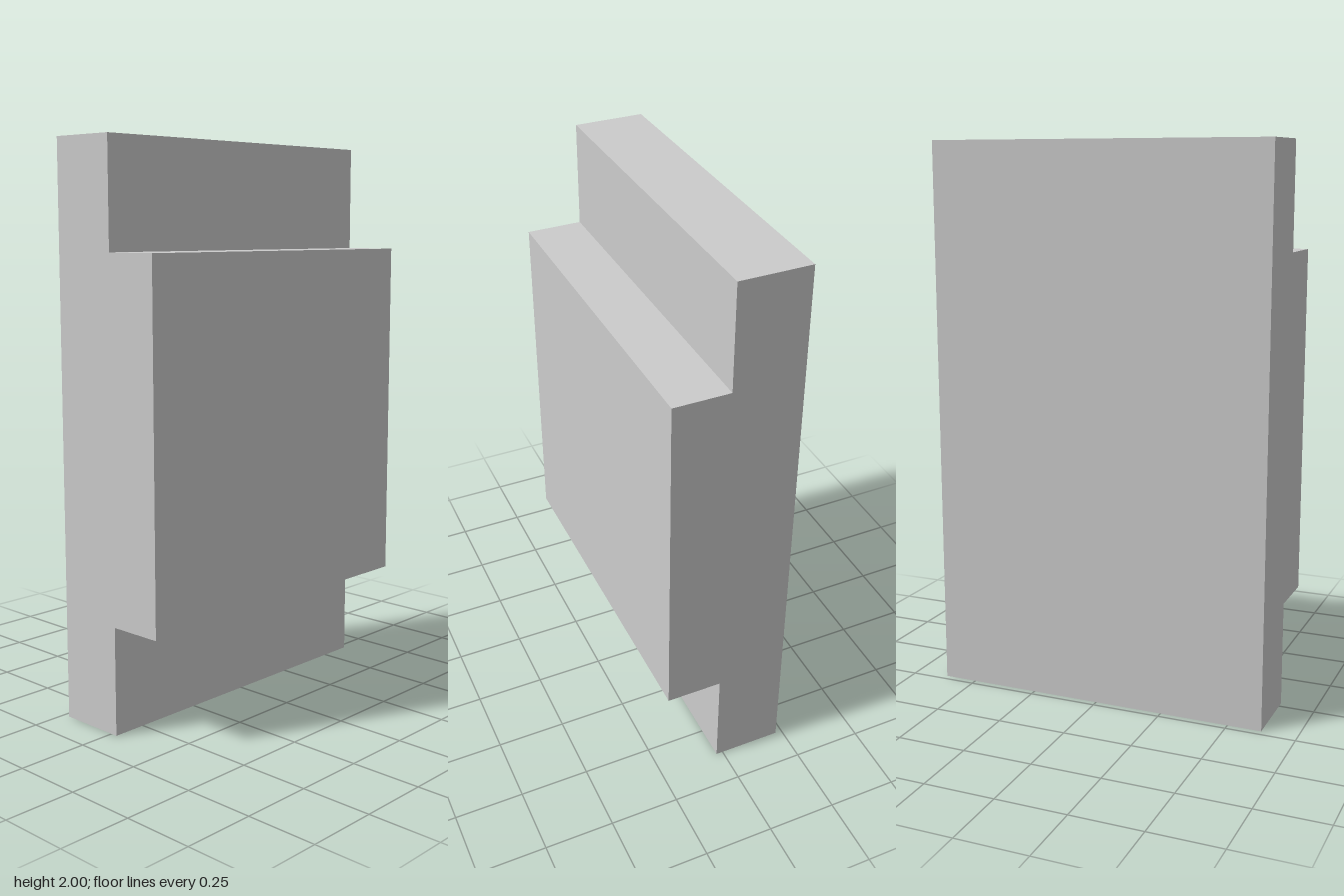
import * as THREE from 'three';

export function createModel() {
  const model = new THREE.Group();
  const width = 1.245;
  const back = -0.225, step = 0.025, front = 0.225;
  const low = 0.38, high = 1.625, top = 2;

  // Stepped side profile as (z, y): tall plate with a raised front block
  const profile = [
    [back, 0], [step, 0], [step, low], [front, low],
    [front, high], [step, high], [step, top], [back, top],
  ];
  const shape = new THREE.Shape(profile.map(([z, y]) => new THREE.Vector2(-z, y)));

  // Sweep the profile across the width
  const geometry = new THREE.ExtrudeGeometry(shape, { depth: width, bevelEnabled: false });
  geometry.translate(0, 0, -width / 2);
  geometry.rotateY(Math.PI / 2);

  const panel = new THREE.Mesh(geometry, new THREE.MeshStandardMaterial({ color: 0xcccccc, flatShading: true }));
  panel.name = 'steppedPanel';
  model.add(panel);
  return model;
}
